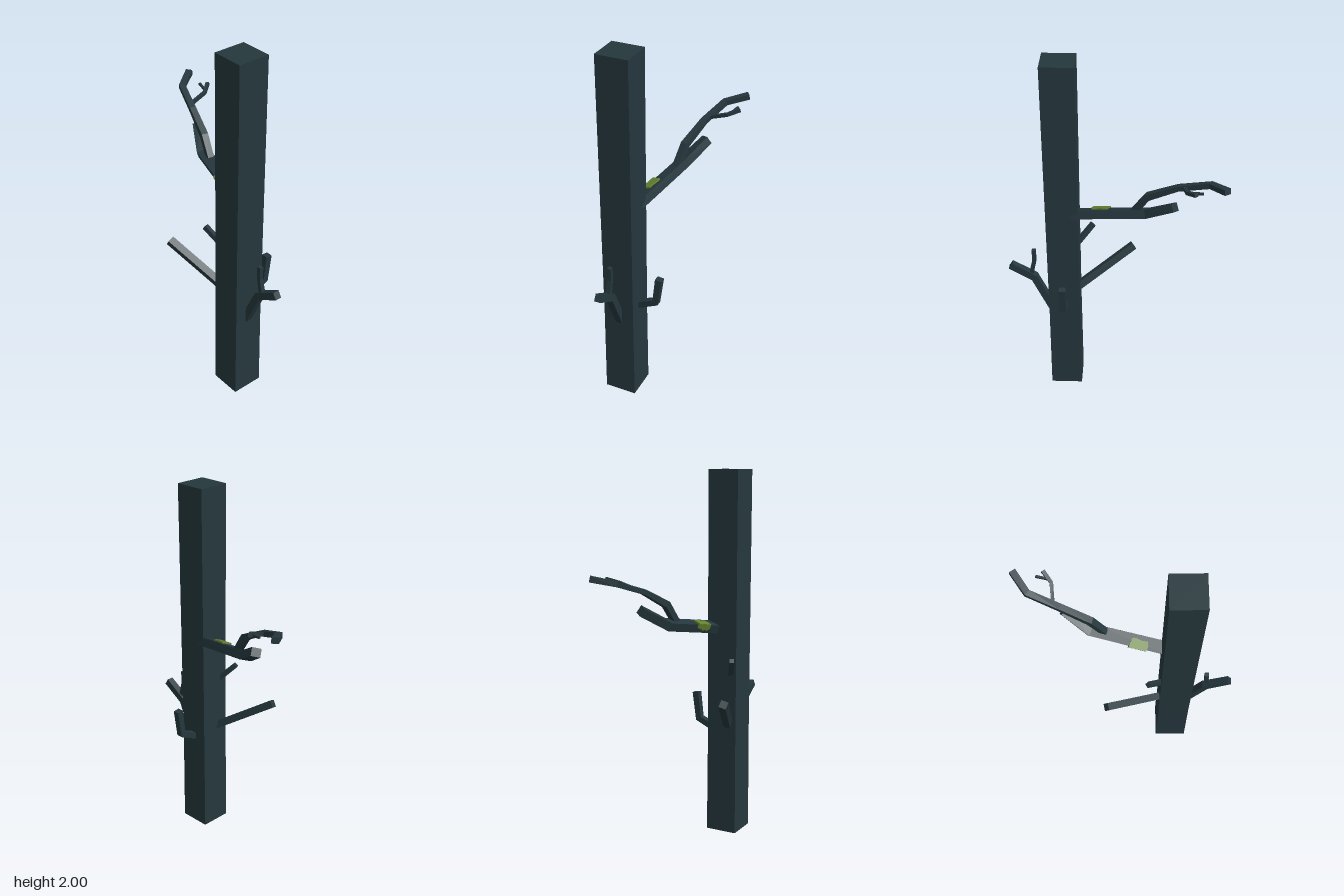
import * as THREE from 'three';

const V = (a) => new THREE.Vector3(...a);

// Four-sided limb swept along points [x, y, z, width, height]; up sets the roll.
function limbGeometry(points, up) {
  const pts = points.map((p) => V(p.slice(0, 3)));
  const n = pts.length, pos = [], idx = [];
  pts.forEach((p, i) => {
    const d = new THREE.Vector3();
    if (i > 0) d.add(p.clone().sub(pts[i - 1]).normalize());
    if (i < n - 1) d.add(pts[i + 1].clone().sub(p).normalize());
    d.normalize();
    const side = V(up).cross(d).normalize();
    const top = d.clone().cross(side);
    const w = points[i][3] / 2, h = (points[i][4] ?? points[i][3]) / 2;
    for (const [a, b] of [[-1, -1], [1, -1], [1, 1], [-1, 1]])
      pos.push(...p.clone().addScaledVector(side, a * w).addScaledVector(top, b * h).toArray());
  });
  for (let i = 0; i < n - 1; i++)
    for (let j = 0; j < 4; j++) {
      const a = i * 4 + j, b = i * 4 + (j + 1) % 4;
      idx.push(a, b, b + 4, a, b + 4, a + 4);
    }
  const e = (n - 1) * 4;
  idx.push(0, 2, 1, 0, 3, 2, e, e + 1, e + 2, e, e + 2, e + 3);
  const g = new THREE.BufferGeometry();
  g.setAttribute('position', new THREE.Float32BufferAttribute(pos, 3));
  g.setIndex(idx);
  const flat = g.toNonIndexed();
  flat.computeVertexNormals();
  return flat;
}

export function createModel() {
  const model = new THREE.Group();
  model.name = 'deadTree';
  const bark = new THREE.MeshStandardMaterial({ color: 0x25373d });
  bark.name = 'bark';
  const moss = new THREE.MeshStandardMaterial({ color: 0x66822f });
  moss.name = 'moss';

  const limb = (name, points, up = [0, 1, 0]) => {
    const m = new THREE.Mesh(limbGeometry(points, up), bark);
    m.name = name;
    model.add(m);
  };

  // Square trunk, very slightly flared at the foot
  limb('trunk', [
    [0.269, 0, 0.091, 0.175], [0.269, 0.5, 0.091, 0.17], [0.269, 2, 0.091, 0.173],
  ], [0, 0, 1]);

  // Large upper branch with its twigs
  const roll = [0, 1, 0.35];
  limb('upperBranch', [
    [0.22, 1.155, 0.042, 0.07, 0.046], [-0.18, 1.22, -0.042, 0.066, 0.046], [-0.317, 1.305, -0.115, 0.05, 0.045],
  ], roll);
  limb('upperFork', [
    [-0.11, 1.225, -0.03, 0.034], [-0.18, 1.325, -0.047, 0.036], [-0.33, 1.405, -0.09, 0.034, 0.026],
    [-0.488, 1.457, -0.145, 0.034, 0.028], [-0.561, 1.484, -0.252, 0.036, 0.03],
  ]);
  limb('upperTwig', [
    [-0.362, 1.415, -0.105, 0.018], [-0.369, 1.447, -0.205, 0.018], [-0.411, 1.468, -0.26, 0.02],
  ]);
  limb('upperTwigTip', [[-0.385, 1.453, -0.222, 0.012], [-0.448, 1.46, -0.234, 0.012]]);

  // Branches on the right side of the trunk
  limb('longLowerBranch', [[0.22, 0.605, 0.115, 0.04], [-0.11, 0.817, 0.25, 0.04]], [0, 1, 0.3]);
  limb('shortBranch', [[0.23, 0.87, 0.12, 0.027], [0.112, 1.0, 0.185, 0.025]]);

  // Forked branch on the left side
  limb('leftBranch', [
    [0.335, 0.48, 0.091, 0.04], [0.437, 0.703, 0.091, 0.04], [0.566, 0.782, 0.091, 0.04, 0.036],
  ], [0, 0, 1]);
  limb('leftTwig', [
    [0.457, 0.715, 0.091, 0.024], [0.435, 0.81, 0.091, 0.022], [0.435, 0.884, 0.091, 0.022],
  ], [0, 0, 1]);

  // Bent stub at the back
  limb('backBranch', [
    [0.268, 0.56, 0.03, 0.036], [0.268, 0.615, -0.09, 0.036], [0.268, 0.765, -0.109, 0.036],
  ], [1, 0, 0]);

  // Ragged moss plates on the top and front of the upper branch
  const patch = new THREE.Group();
  patch.name = 'mossPatch';
  const along = V([0.4, -0.065, 0.084]).normalize();
  const front = along.clone().cross(V(roll)).normalize();
  const top = front.clone().cross(along);
  patch.quaternion.setFromRotationMatrix(new THREE.Matrix4().makeBasis(along, top, front));
  patch.position.set(0.065, 1.18, 0.0095);
  const plate = (name, outline) => {
    const shape = new THREE.Shape(outline.map((p) => new THREE.Vector2(...p)));
    const m = new THREE.Mesh(new THREE.ExtrudeGeometry(shape, { depth: 0.009, bevelEnabled: false }), moss);
    m.name = name;
    patch.add(m);
    return m;
  };
  const upper = plate('mossTop', [
    [-0.047, -0.042], [0.046, -0.042], [0.05, -0.015], [0.043, 0.01], [0.015, 0.006], [-0.015, 0.013], [-0.04, 0.012],
  ]);
  upper.rotation.x = -Math.PI / 2;
  upper.position.y = 0.022;
  const face = plate('mossFront', [
    [-0.047, 0.03], [-0.05, 0.008], [-0.03, 0], [-0.022, 0.006], [-0.008, -0.008], [0.01, 0],
    [0.024, -0.008], [0.046, 0.003], [0.046, 0.03],
  ]);
  face.position.z = 0.0335;
  model.add(patch);

  return model;
}
